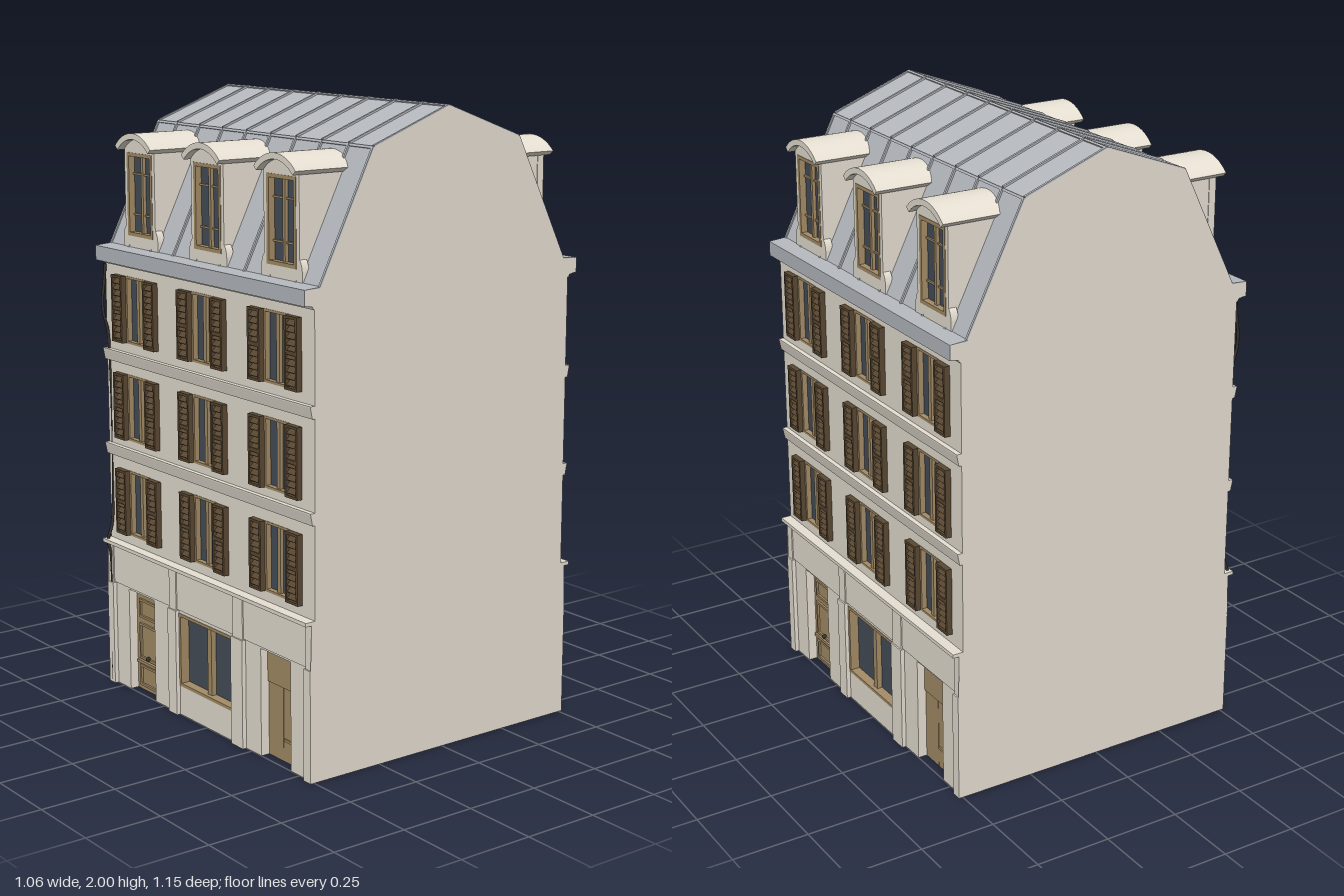
import * as THREE from 'three';

const mat = (name, color, side = THREE.FrontSide) => {
  const m = new THREE.MeshStandardMaterial({ color, side });
  m.name = name;
  return m;
};
const stone = mat('stone', 0xe6dfd2, THREE.DoubleSide);
const zinc = mat('zinc', 0xb5b9be, THREE.DoubleSide);
const glass = mat('glass', 0x444d58);
const wood = mat('paleWood', 0xa48c67);
const shutterWood = mat('shutterWood', 0x5a4832);
const iron = mat('iron', 0x35312d);

const L = 1.146;              // length of the building along z
const COLS = [-0.385, 0, 0.385];
const FLOORS = [0.54, 0.865, 1.19];

function add(parent, name, geo, material) {
  const m = new THREE.Mesh(geo, material);
  m.name = name;
  parent.add(m);
  return m;
}
// Box given by its limits
function box(parent, name, material, x0, x1, y0, y1, z0, z1) {
  const m = add(parent, name, new THREE.BoxGeometry(x1 - x0, y1 - y0, z1 - z0), material);
  m.position.set((x0 + x1) / 2, (y0 + y1) / 2, (z0 + z1) / 2);
  return m;
}
const poly = pts => new THREE.Shape(pts.map(p => new THREE.Vector2(...p)));
const rect = (x0, x1, y0, y1) => [[x0, y0], [x1, y0], [x1, y1], [x0, y1]];
const extrude = (shape, depth, z = 0) =>
  new THREE.ExtrudeGeometry(shape, { depth, bevelEnabled: false, curveSegments: 20 }).translate(0, 0, z);
// Profile of (outward, y) points run along the facade
function molding(parent, name, material, pts) {
  const g = extrude(poly(pts), L, -L / 2).rotateY(-Math.PI / 2);
  return add(parent, name, g, material);
}
// Four bars around an opening
function surround(parent, name, material, x0, x1, y0, y1, t, z0, z1) {
  box(parent, name, material, x0, x0 + t, y0, y1, z0, z1);
  box(parent, name, material, x1 - t, x1, y0, y1, z0, z1);
  box(parent, name, material, x0 + t, x1 - t, y0, y0 + t, z0, z1);
  box(parent, name, material, x0 + t, x1 - t, y1 - t, y1, z0, z1);
}

function shutter(parent, x, y) {
  const g = new THREE.Group();
  g.name = 'shutter';
  box(g, 'shutterBack', shutterWood, -0.03, 0.03, 0, 0.22, 0.495, 0.498);
  surround(g, 'shutterFrame', shutterWood, -0.031, 0.031, 0, 0.22, 0.008, 0.495, 0.514);
  box(g, 'shutterRail', shutterWood, -0.023, 0.023, 0.105, 0.117, 0.495, 0.513);
  for (let i = 0; i < 10; i++) {
    const s = box(g, 'louver', shutterWood, -0.023, 0.023, 0.01 + i * 0.02, 0.03 + i * 0.02, 0.503, 0.506);
    s.rotation.x = -0.8;
  }
  g.position.set(x, y, 0);
  parent.add(g);
}

function floorWindow(parent, x, y) {
  const g = new THREE.Group();
  g.name = 'window';
  box(g, 'windowGlass', glass, -0.062, 0.062, 0, 0.22, 0.473, 0.479);
  surround(g, 'windowFrame', wood, -0.063, 0.063, -0.001, 0.221, 0.008, 0.474, 0.4965);
  box(g, 'windowMullion', wood, -0.008, 0.008, 0.007, 0.213, 0.476, 0.49);
  g.position.set(x, y, 0);
  parent.add(g);
  for (const s of [-1, 1]) shutter(parent, x + s * 0.094, y);
}

function dormer(parent, x) {
  const g = new THREE.Group();
  g.name = 'dormer';
  box(g, 'dormerBody', stone, -0.086, 0.086, 1.5, 1.82, 0.29, 0.45);
  // Arched front with flared feet
  const s = new THREE.Shape();
  s.moveTo(-0.102, 1.5);
  s.lineTo(0.102, 1.5);
  s.lineTo(0.102, 1.535);
  s.quadraticCurveTo(0.099, 1.56, 0.088, 1.57);
  s.lineTo(0.088, 1.817);
  s.absarc(0, 1.733, 0.124, Math.PI / 2 - 0.79, Math.PI / 2 + 0.79, false);
  s.lineTo(-0.088, 1.57);
  s.quadraticCurveTo(-0.099, 1.56, -0.102, 1.535);
  s.holes.push(poly(rect(-0.072, 0.072, 1.542, 1.808)));
  add(g, 'dormerFront', extrude(s, 0.025, 0.45), stone);
  // Curved cap
  const a = 0.826, c = new THREE.Shape();
  c.absarc(0, 1.733, 0.141, Math.PI / 2 - a, Math.PI / 2 + a, false);
  c.absarc(0, 1.733, 0.122, Math.PI / 2 + a, Math.PI / 2 - a, true);
  add(g, 'dormerCap', extrude(c, 0.229, 0.271), stone);
  // Window
  box(g, 'dormerGlass', glass, -0.072, 0.072, 1.542, 1.808, 0.45, 0.455);
  surround(g, 'dormerFrame', wood, -0.073, 0.073, 1.541, 1.809, 0.012, 0.454, 0.4765);
  box(g, 'dormerMullion', wood, -0.006, 0.006, 1.553, 1.797, 0.454, 0.466);
  for (const y of [1.61, 1.74]) box(g, 'dormerBar', wood, -0.061, 0.061, y - 0.003, y + 0.003, 0.454, 0.461);
  g.position.x = x;
  parent.add(g);
}

// One street front, built facing +z
function facade() {
  const f = new THREE.Group();
  f.name = 'facade';
  const h = L / 2;
  const wall = poly(rect(-h, h, 0.49, 1.46));
  for (const x of COLS) for (const y of FLOORS) {
    wall.holes.push(poly(rect(x - 0.062, x + 0.062, y, y + 0.22)));
    floorWindow(f, x, y);
  }
  add(f, 'upperWall', extrude(wall, 0.02, 0.475), stone);

  // Ground floor wall, doors open to the ground
  const ground = poly([[-h, 0], [-0.46, 0], [-0.46, 0.35], [-0.305, 0.35], [-0.305, 0],
    [0.3, 0], [0.3, 0.35], [0.455, 0.35], [0.455, 0], [h, 0], [h, 0.5], [-h, 0.5]]);
  ground.holes.push(poly(rect(-0.155, 0.155, 0.1, 0.345)));
  add(f, 'groundWall', extrude(ground, 0.038, 0.462), stone);
  for (const [a, b] of [[-h, -0.543], [-0.2, -0.16], [0.16, 0.215], [0.543, h]]) {
    box(f, 'pilaster', stone, a, b, 0, 0.498, 0.49, 0.509);
    box(f, 'pilasterBase', stone, Math.max(a - 0.004, -h), Math.min(b + 0.004, h), 0, 0.355, 0.49, 0.514);
  }
  for (const [a, b] of [[-0.543, -0.2], [-0.16, 0.16], [0.215, 0.543]])
    box(f, 'fascia', stone, a, b, 0.358, 0.498, 0.49, 0.505);

  // Shop window
  box(f, 'shopGlass', glass, -0.155, 0.155, 0.1, 0.345, 0.464, 0.47);
  box(f, 'shopWindowBack', zinc, -0.155, 0.155, 0.1, 0.345, 0.458, 0.463);
  surround(f, 'shopFrame', wood, -0.156, 0.156, 0.099, 0.346, 0.01, 0.468, 0.5015);
  box(f, 'shopMullion', wood, -0.011, 0.011, 0.109, 0.336, 0.468, 0.488);

  // Panelled door
  for (const [a, b] of [[-0.46, -0.305], [0.3, 0.455]])
    box(f, 'doorNiche', stone, a, b, 0, 0.35, 0.446, 0.454);
  box(f, 'panelDoor', wood, -0.46, -0.305, 0, 0.35, 0.455, 0.47);
  for (const [y0, y1] of [[0.015, 0.09], [0.11, 0.235], [0.255, 0.32]])
    surround(f, 'doorPanel', wood, -0.437, -0.328, y0, y1, 0.008, 0.468, 0.477);
  box(f, 'doorRail', wood, -0.45, -0.315, 0.095, 0.105, 0.468, 0.48);
  add(f, 'doorKnob', new THREE.SphereGeometry(0.008, 12, 8), iron).position.set(-0.383, 0.12, 0.478);

  // Double door with a transom panel
  box(f, 'transomPanel', wood, 0.3, 0.455, 0.24, 0.35, 0.455, 0.474);
  box(f, 'doorLeaf', wood, 0.3, 0.3765, 0, 0.238, 0.455, 0.47);
  box(f, 'doorLeaf', wood, 0.3785, 0.455, 0, 0.238, 0.455, 0.47);
  box(f, 'doorGap', iron, 0.3765, 0.3785, 0, 0.24, 0.456, 0.468);
  box(f, 'doorRail', wood, 0.385, 0.445, 0.068, 0.076, 0.468, 0.475);

  // Ledge, string courses and eaves
  molding(f, 'groundLedge', stone, [[0.48, 0.496], [0.53, 0.496], [0.53, 0.508], [0.48, 0.508]]);
  for (const y of [0.8, 1.12])
    molding(f, 'stringCourse', stone, [[0.48, y], [0.504, y], [0.511, y + 0.034], [0.511, y + 0.038], [0.48, y + 0.038]]);
  molding(f, 'eavesCove', stone, [[0.48, 1.44], [0.499, 1.44], [0.503, 1.449], [0.522, 1.452], [0.48, 1.454]]);
  molding(f, 'eavesGutter', zinc, [[0.46, 1.452], [0.531, 1.452], [0.531, 1.5], [0.46, 1.505]]);

  for (const x of COLS) dormer(f, x);
  return f;
}

// Band of roof between two profile points, with standing seams
function roofSlope(parent, name, a, b) {
  const g = new THREE.Group();
  g.name = name;
  const dx = b[0] - a[0], dy = b[1] - a[1], len = Math.hypot(dx, dy);
  box(g, 'roofSheet', zinc, 0, len, -0.012, 0, -L / 2 + 0.001, L / 2 - 0.001);
  for (let i = 0; i < 8; i++) {
    const z = (i - 3.5) * 0.13;
    box(g, 'seam', zinc, 0, len, -0.004, 0.006, z - 0.004, z + 0.004);
  }
  for (const s of [-1, 1])
    box(g, 'edgeSeam', zinc, 0, len, -0.004, 0.004, s * 0.568 - 0.004, s * 0.568 + 0.004);
  box(g, 'foldSeam', zinc, len - 0.008, len, -0.004, 0.004, -L / 2 + 0.002, L / 2 - 0.002);
  g.position.set(a[0], a[1], 0);
  g.rotation.z = Math.atan2(dy, dx);
  parent.add(g);
}

export function createModel() {
  const model = new THREE.Group();
  model.name = 'townHouse';

  for (const s of [-1, 1]) {
    const f = facade();
    f.rotation.y = s * Math.PI / 2;
    model.add(f);
  }

  // Blank gable walls
  const half = [[0.513, 0], [0.513, 0.36], [0.509, 0.5], [0.494, 0.51], [0.494, 1.45], [0.53, 1.455],
    [0.53, 1.5], [0.475, 1.5], [0.28, 1.893]];
  const outline = [...half, [0, 1.998], ...half.slice().reverse().map(([x, y]) => [-x, y])];
  for (const s of [-1, 1]) {
    const g = add(model, 'gableWall', new THREE.ShapeGeometry(poly(outline)), stone);
    g.position.z = s * (L / 2 + 0.0005);
    if (s < 0) g.rotation.y = Math.PI;
  }

  // Two-pitch roof, mirrored by a half turn
  for (const turn of [0, Math.PI]) {
    const r = new THREE.Group();
    r.name = 'roofSide';
    roofSlope(r, 'lowerRoof', [-0.474, 1.5], [-0.279, 1.893]);
    roofSlope(r, 'upperRoof', [-0.279, 1.893], [0, 1.997]);
    r.rotation.y = turn;
    model.add(r);
  }

  // Drainpipe at one back corner
  const path = new THREE.CatmullRomCurve3([[-0.506, 1.44], [-0.512, 1.38], [-0.52, 1.32], [-0.516, 1.27], [-0.502, 1.22],
    [-0.502, 0.56], [-0.52, 0.5], [-0.51, 0.46], [-0.51, 0.01]]
    .map(([x, y]) => new THREE.Vector3(x, y, -0.556)));
  add(model, 'drainpipe', new THREE.TubeGeometry(path, 60, 0.005, 8), iron);
  return model;
}
